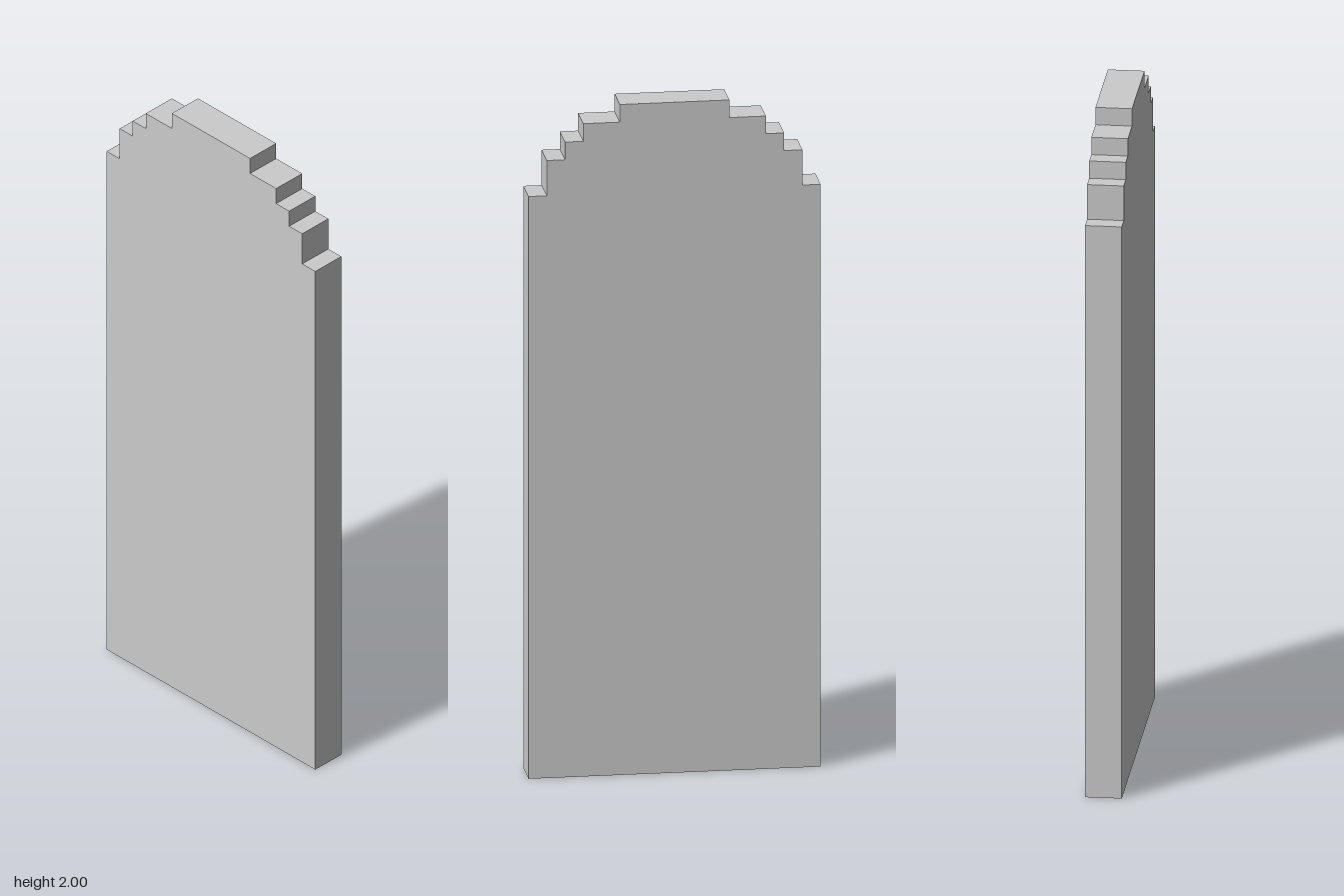
import * as THREE from 'three';

const U = 2 / 38; // one step of the stepped outline

// Stepped arch: [half width, top height] of each tier, in steps
const TIERS = [[8, 33], [7, 35], [6, 36], [5, 37], [3, 38]];
const DEPTH = 2;

export function createModel() {
  const group = new THREE.Group();
  group.name = 'steppedSlab';

  // Right half of the outline, from the base up to the crown
  const half = [];
  let y = 0;
  for (const [w, top] of TIERS) {
    half.push([w * U, y * U], [w * U, top * U]);
    y = top;
  }
  // Mirror it to close the outline
  const mirrored = half.map(([x, h]) => [-x, h]).reverse();
  const outline = [...half, ...mirrored].map(([x, h]) => new THREE.Vector2(x, h));

  const geometry = new THREE.ExtrudeGeometry(new THREE.Shape(outline), {
    depth: DEPTH * U,
    bevelEnabled: false,
  });
  geometry.translate(0, 0, -DEPTH * U / 2);

  const slab = new THREE.Mesh(
    geometry,
    new THREE.MeshStandardMaterial({ color: 0xcccccc, flatShading: true }),
  );
  slab.name = 'slab';
  group.add(slab);
  return group;
}
